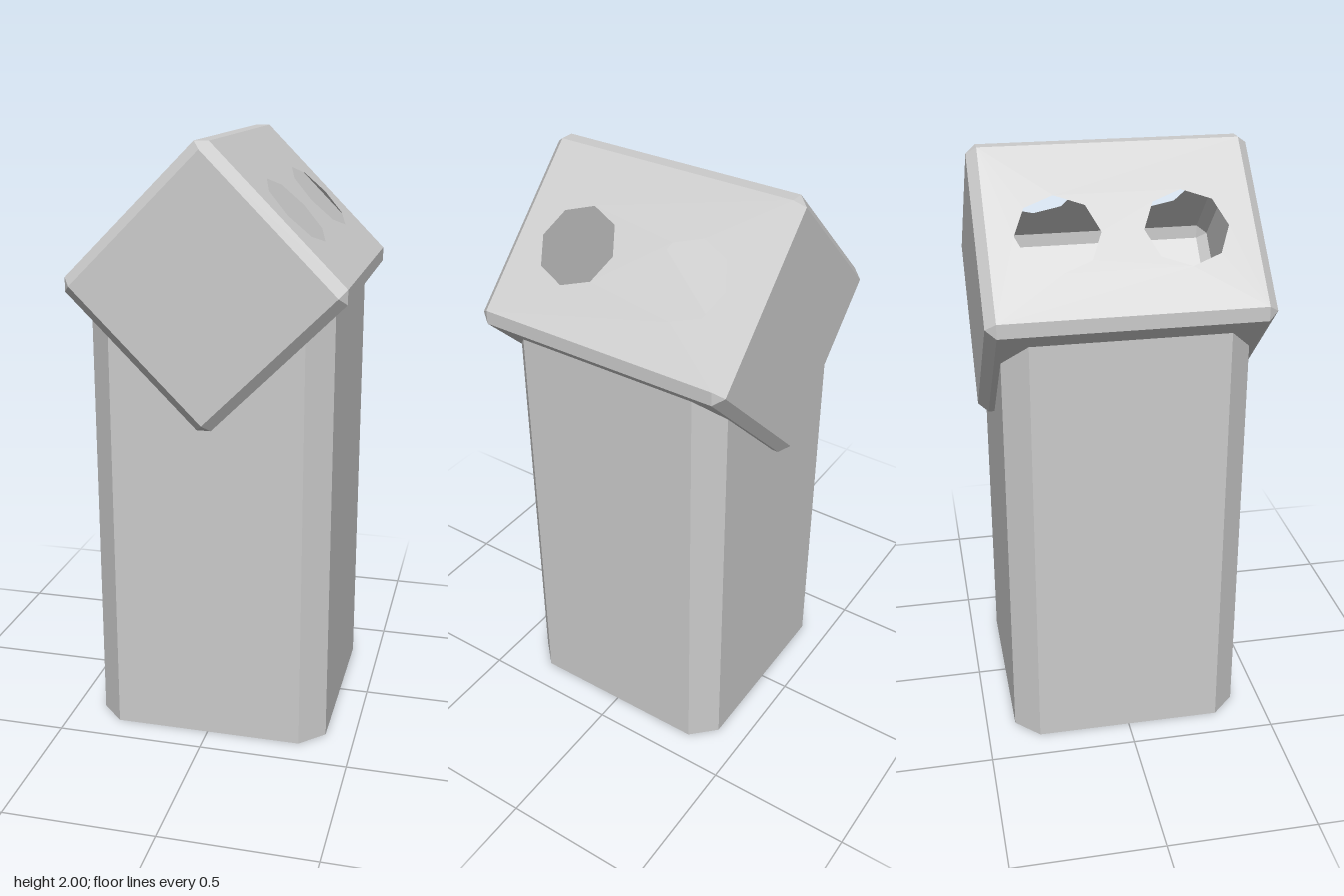
import * as THREE from 'three';
import { ConvexGeometry } from 'three/addons/geometries/ConvexGeometry.js';

const H = 0.335;   // half side of the square section
const C = 0.033;   // chamfer
const HZ = 0.453;  // half length of the head
const CENTRE_Y = 1.55;

const material = new THREE.MeshStandardMaterial({
  color: 0xcccccc, flatShading: true, side: THREE.DoubleSide,
});

function addMesh(parent, name, geometry) {
  const mesh = new THREE.Mesh(geometry, material);
  mesh.name = name;
  parent.add(mesh);
}

// Drop every triangle whose three corners all satisfy the test
function dropTriangles(geometry, test) {
  const source = geometry.index ? geometry.toNonIndexed() : geometry;
  const p = source.attributes.position;
  const kept = [];
  for (let i = 0; i < p.count; i += 3) {
    const tri = [0, 1, 2].map((k) => new THREE.Vector3().fromBufferAttribute(p, i + k));
    if (!tri.every(test)) tri.forEach((v) => kept.push(v.x, v.y, v.z));
  }
  const result = new THREE.BufferGeometry();
  result.setAttribute('position', new THREE.Float32BufferAttribute(kept, 3));
  result.computeVertexNormals();
  return result;
}

// Chamfered box shell, open on its +x and +y sides
function shellGeometry() {
  const points = [];
  for (const x of [-1, 1]) for (const y of [-1, 1]) for (const z of [-1, 1]) {
    points.push(
      new THREE.Vector3(x * H, y * (H - C), z * (HZ - C)),
      new THREE.Vector3(x * (H - C), y * H, z * (HZ - C)),
      new THREE.Vector3(x * (H - C), y * (H - C), z * HZ),
    );
  }
  const near = (a) => Math.abs(a - H) < 1e-4;
  const noX = dropTriangles(new ConvexGeometry(points), (v) => near(v.x));
  return dropTriangles(noX, (v) => near(v.y));
}

// Flat panel with two octagonal openings, facing +x
function panelGeometry(offset) {
  const w = HZ - C, h = H - C;
  const shape = new THREE.Shape([[-w, -h], [w, -h], [w, h], [-w, h]].map((p) => new THREE.Vector2(...p)));
  for (const u of [-0.202, 0.202]) {
    const hole = [];
    for (let i = 0; i < 8; i++) {
      const a = -i * Math.PI / 4;
      hole.push(new THREE.Vector2(u + 0.135 * Math.cos(a), offset + 0.135 * Math.sin(a)));
    }
    shape.holes.push(new THREE.Path(hole));
  }
  return new THREE.ShapeGeometry(shape).rotateY(Math.PI / 2).translate(H, 0, 0);
}

// Post with cut corners, its open top fitted to the underside of the head
function postGeometry() {
  const half = [[0.024, -0.4], [0.32, -0.4], [0.4, -0.32], [0.4, 0.32], [0.32, 0.4], [0.024, 0.4]];
  const mirrored = half.map(([x, z]) => [-x, z]).reverse();
  const shape = new THREE.Shape([...half, ...mirrored].map((p) => new THREE.Vector2(...p)));
  const solid = new THREE.ExtrudeGeometry(shape, { depth: 1, bevelEnabled: false });
  solid.rotateX(-Math.PI / 2);
  const post = dropTriangles(solid, (v) => v.y > 0.5);
  const p = post.attributes.position;
  for (let i = 0; i < p.count; i++) {
    if (p.getY(i) > 0.5) {
      p.setY(i, Math.max(1.1, CENTRE_Y - H * Math.SQRT2 + Math.abs(p.getX(i))));
    }
  }
  post.computeVertexNormals();
  return post;
}

export function createModel() {
  const model = new THREE.Group();
  model.name = 'postWithHead';
  addMesh(model, 'post', postGeometry());

  // Hollow head standing on its edge
  const head = new THREE.Group();
  head.name = 'head';
  head.position.y = CENTRE_Y;
  head.rotation.z = Math.PI / 4;
  addMesh(head, 'headShell', shellGeometry());
  addMesh(head, 'leftRoofPanel', panelGeometry(-0.014));
  addMesh(head, 'rightRoofPanel', panelGeometry(0.014).rotateZ(Math.PI / 2));
  model.add(head);
  return model;
}
